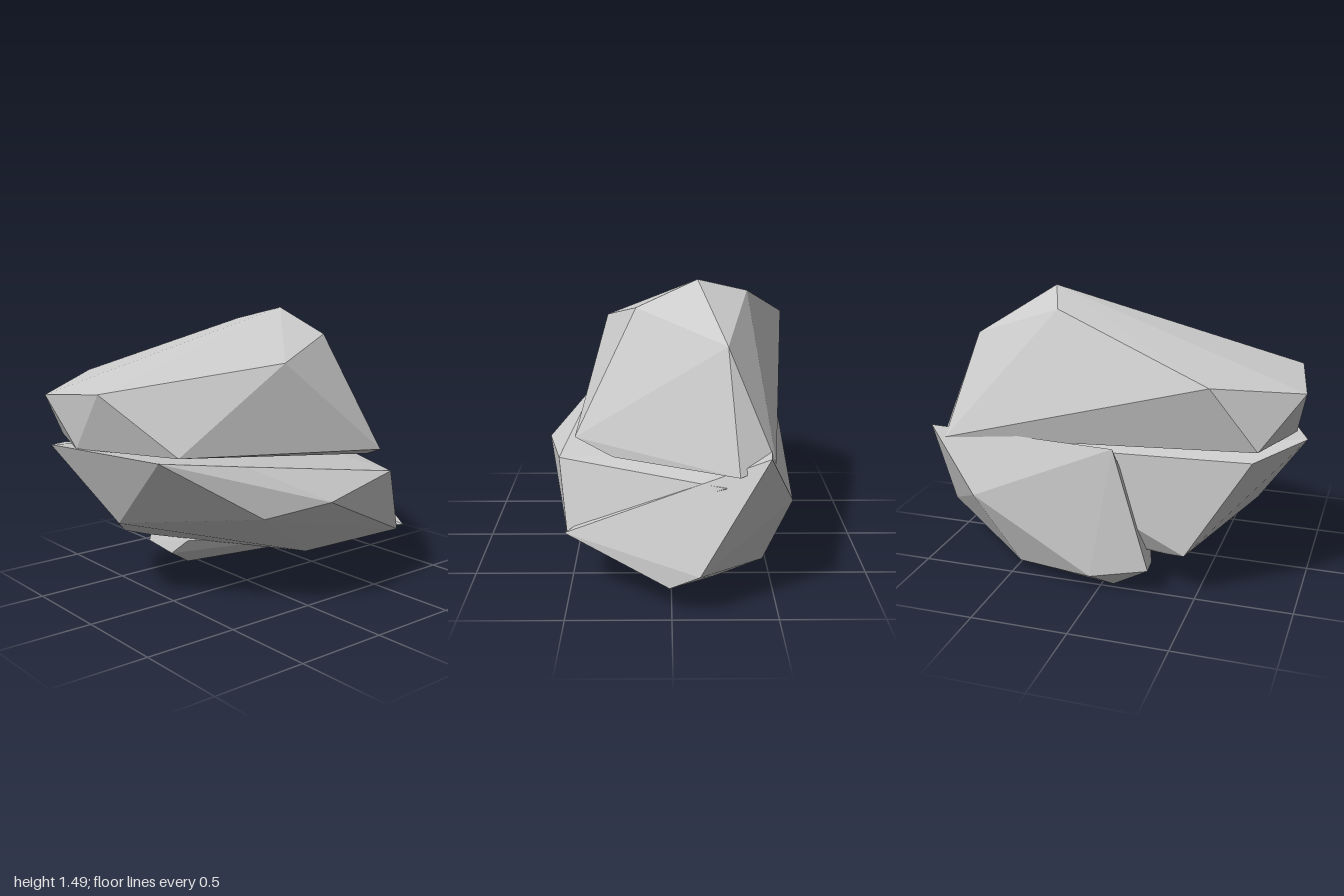
import * as THREE from 'three';
import { ConvexGeometry } from 'three/addons/geometries/ConvexGeometry.js';

// Corner points of each faceted stone
const stones = {
  upperStone: [
    // crown
    [-0.13, 1.49, -0.35], [-0.38, 1.42, -0.25], [0.17, 1.36, -0.4], [0.33, 1.25, 0.02], [-0.26, 1.24, -0.74],
    // front brow
    [-0.65, 1.165, 0.58], [-0.39, 1.1, 0.99], [0, 1.14, 0.92],
    // sloping base
    [-0.57, 0.85, 0.8], [-0.2, 0.845, 0.93], [0.29, 0.84, 0.66], [0.47, 0.75, -0.55],
    [0.28, 0.68, -0.65], [-0.31, 0.68, -0.95], [-0.48, 0.72, -0.86],
  ],
  middleStone: [
    // top rim
    [-0.33, 0.855, 1], [-0.585, 0.8, 0.78], [0.28, 0.83, 0.77], [0.43, 0.78, 0.35],
    [0.55, 0.645, -0.55], [-0.25, 0.62, -0.92], [-0.45, 0.7, -0.6],
    // side corners
    [0.65, 0.585, -0.01], [0.5, 0.52, 0.3], [0.51, 0.29, -0.66],
    // underside
    [-0.13, 0.44, 0.74], [-0.54, 0.25, 0.45], [-0.48, 0.22, 0.34], [0.19, 0.16, -0.27], [-0.1, 0.11, -0.55],
  ],
  lowerStone: [
    // outer side and peaks
    [-0.572, 0.79, 0.09], [-0.59, 0.46, -0.66], [-0.45, 0.77, -0.95], [0.52, 0.31, -0.7],
    // back foot
    [-0.13, 0.215, -1], [0.01, 0.13, -0.94], [-0.2, 0.075, -0.7], [-0.47, 0.06, -0.46],
    // front foot
    [-0.56, 0.15, 0.27], [-0.59, 0.09, -0.03], [-0.47, 0, 0.06], [-0.38, 0.11, 0.24], [-0.28, 0.2, 0.2],
  ],
};

export function createModel() {
  const group = new THREE.Group();
  const stoneGrey = new THREE.MeshStandardMaterial({ color: 0xcccccc });
  stoneGrey.name = 'stoneGrey';
  for (const [name, points] of Object.entries(stones)) {
    const corners = points.map((p) => new THREE.Vector3(...p));
    const mesh = new THREE.Mesh(new ConvexGeometry(corners), stoneGrey);
    mesh.name = name;
    group.add(mesh);
  }
  return group;
}
